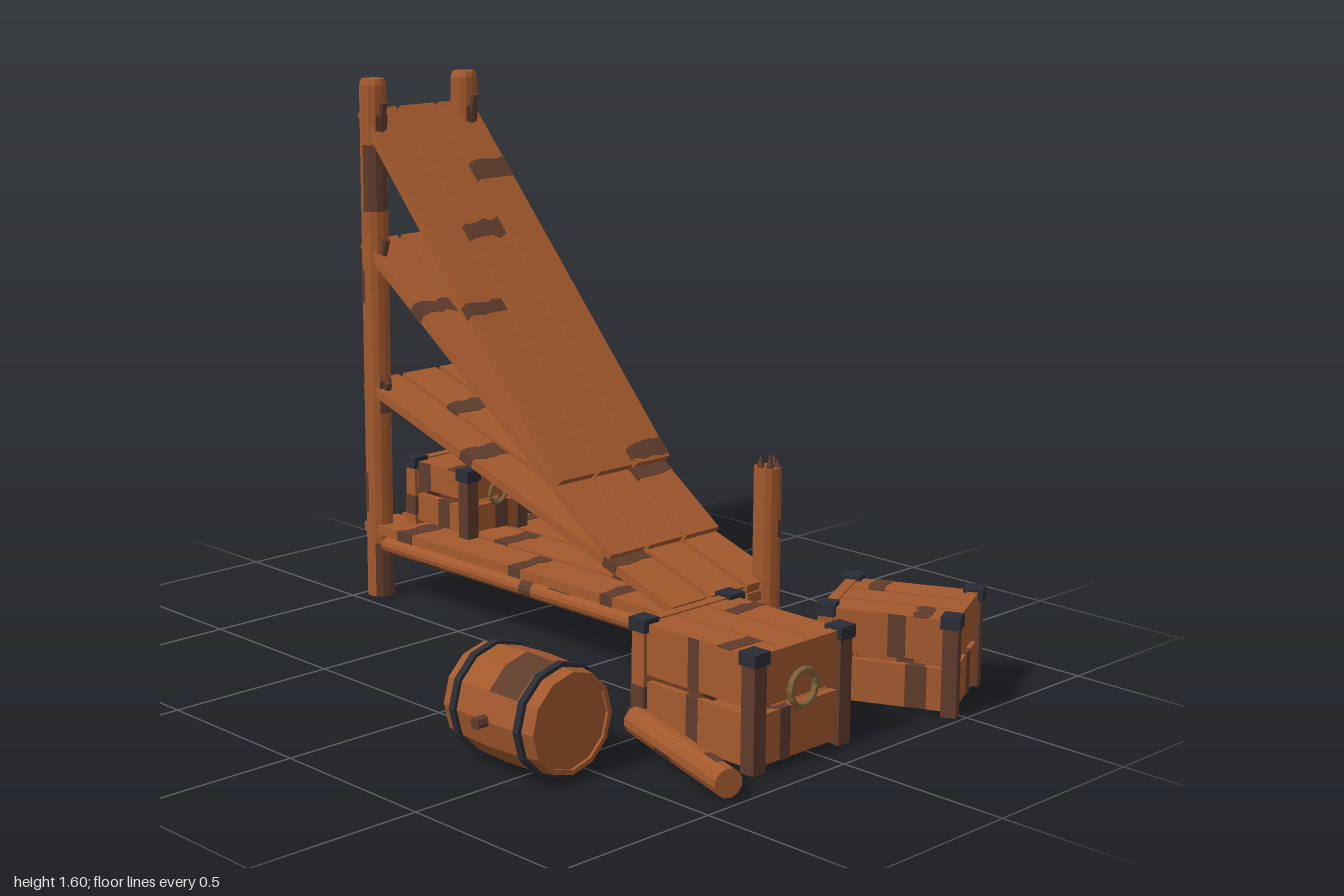
import * as THREE from 'three';

const mat = (name, color) => Object.assign(new THREE.MeshStandardMaterial({ color, flatShading: true }), { name });
const wood = mat('wood', 0xa3592d);
const stain = mat('dark wood stain', 0x5f3c2c);
const iron = mat('iron', 0x2a2d36);
const rope = mat('rope', 0x7c6339);

// Small seeded generator for stain placement
let seed = 7;
const rnd = () => (seed = (seed * 16807) % 2147483647) / 2147483647;

function add(parent, name, geo, material, x = 0, y = 0, z = 0) {
  const m = new THREE.Mesh(geo, material);
  m.name = name;
  m.position.set(x, y, z);
  parent.add(m);
  return m;
}

function group(parent, name, x = 0, y = 0, z = 0) {
  const g = new THREE.Group();
  g.name = name;
  g.position.set(x, y, z);
  parent.add(g);
  return g;
}

// Board running along x; each stain is a thin wavy band wrapped around it
function board(parent, name, len, th, wid, x, y, z, stains = []) {
  const g = group(parent, name, x, y, z);
  add(g, name + 'Wood', new THREE.BoxGeometry(len, th, wid), wood);
  for (const [u, bandWidth] of stains) {
    const e = 0.0015, hw = wid / 2 + e, s = new THREE.Shape();
    const steps = [-1, -0.4, 0.2, 0.55, 1];
    const left = steps.map(t => [u - bandWidth / 2 + (rnd() - 0.5) * 0.016, t * hw]);
    const right = steps.map(t => [u + bandWidth / 2 + (rnd() - 0.5) * 0.016, t * hw]).reverse();
    [...left, ...right].forEach(([a, b], i) => (i ? s.lineTo(a, b) : s.moveTo(a, b)));
    const geo = new THREE.ExtrudeGeometry(s, { depth: th + 2 * e, bevelEnabled: false });
    geo.translate(0, 0, -th / 2 - e).rotateX(-Math.PI / 2);
    add(g, name + 'Stain', geo, stain);
  }
  return g;
}

// Round timber along y, standing on its base; stains are [y, height, startAngle, sweep]
function log(parent, name, r, h, x, y, z, stains = []) {
  const g = group(parent, name, x, y, z);
  add(g, name + 'Wood', new THREE.CylinderGeometry(r, r, h, 12), wood, 0, h / 2);
  for (const [sy, sh, a, sides] of stains) {
    const step = Math.PI / 6;
    const geo = new THREE.CylinderGeometry(r + 0.0015, r + 0.0015, sh, sides, 1, true, a * step, sides * step);
    add(g, name + 'Stain', geo, stain, 0, sy + sh / 2);
  }
  return g;
}

// Broken end of a timber
function splinters(g, y) {
  const spots = [[0.018, 0.012, 0.045], [-0.02, 0.008, 0.032], [0.004, -0.02, 0.036], [-0.006, 0.024, 0.025], [0.024, -0.014, 0.022]];
  for (const [x, z, h] of spots) add(g, 'splinter', new THREE.ConeGeometry(0.012, h, 5), stain, x, y + h / 2, z);
}

// Slatted crate; w and d are measured between the corner post centres
function crate(parent, name, w, d, h, x, y, z, turn, p, rings) {
  const g = group(parent, name, x, y, z);
  g.rotation.y = turn;
  const capH = 0.035, top = h - 0.012;
  for (const sx of [-1, 1]) for (const sz of [-1, 1]) {
    add(g, 'cornerPost', new THREE.BoxGeometry(p, top, p), sx > 0 ? stain : wood, sx * w / 2, top / 2, sz * d / 2);
    if (sx < 0) add(g, 'cornerPostStain', new THREE.BoxGeometry(p + 0.003, top * 0.3, p + 0.003), stain, sx * w / 2, top * (sz > 0 ? 0.3 : 0.6), sz * d / 2);
    add(g, 'cornerCap', new THREE.BoxGeometry(p + 0.012, capH, p + 0.012), iron, sx * w / 2, h - capH / 2, sz * d / 2);
  }
  // Walls: two boards on each side with an open gap between them
  const gap = 0.02, bh = (h - 0.03 - gap) / 2;
  for (const s of [-1, 1]) for (const row of [0, 1]) {
    const by = 0.015 + bh / 2 + row * (bh + gap);
    board(g, 'longSlat', w, bh, 0.022, 0, by, s * d / 2, [[(rnd() - 0.5) * w * 0.7, 0.05]]);
    board(g, 'endSlat', d, bh, 0.022, s * w / 2, by, 0, row === 0 ? [[(rnd() - 0.5) * d * 0.5, 0.05]] : [])
      .rotation.y = Math.PI / 2;
  }
  // Lid, floor and the end rails
  const pitch = (d + 0.025) / 3;
  for (const i of [-1, 0, 1]) {
    board(g, 'lidSlat', w, 0.022, pitch - 0.008, 0, h - 0.024, i * pitch, i ? [[i * w * 0.25, 0.045]] : []);
    board(g, 'floorSlat', w, 0.02, pitch - 0.008, 0, 0.022, i * pitch);
  }
  for (const s of [-1, 1]) {
    add(g, 'endRail', new THREE.BoxGeometry(0.03, 0.03, d), wood, s * w / 2, h - 0.024, 0);
    if (!rings) continue;
    const r = h * 0.15;
    const ring = add(g, 'ropeRing', new THREE.TorusGeometry(r, r * 0.2, 6, 12), rope, s * (w / 2 + 0.02), h * 0.6, 0);
    ring.rotation.y = Math.PI / 2;
  }
}

export function createModel() {
  const model = new THREE.Group();
  model.name = 'woodenRampWithCargo';
  const rows = [-0.115, -0.265, -0.415], width = 0.132;
  const postZ = [-0.08, -0.438];

  // Tall rear posts with worn tops and pegs
  postZ.forEach((z, i) => {
    const g = log(model, 'tallPost', 0.041, 1.578, -0.958, 0, z,
      [[0, 0.17, 1, 6], [0.27, 0.12, 8, 4], [0.58, 0.1, 2, 7], [0.92, 0.1, 7, 5], [1.2, 0.2, i * 5, 4], [1.4, 0.09, 2, 5]]);
    add(g, 'postTop', new THREE.CylinderGeometry(0.034, 0.041, 0.017, 12), wood, 0, 1.5865);
    for (const y of [1.51, 1.1, 0.66]) {
      const peg = add(g, 'peg', new THREE.CylinderGeometry(0.013, 0.009, 0.06, 8), stain, 0.044, y - 0.012);
      peg.rotation.z = -0.25;
    }
  });

  // Front posts: one tall, one snapped off short
  splinters(log(model, 'frontPost', 0.04, 0.58, 0.325, 0, postZ[1], [[0.05, 0.1, 0, 6], [0.38, 0.05, 3, 4]]), 0.58);
  splinters(log(model, 'snappedPost', 0.04, 0.2, 0.325, 0, postZ[0], [[0.04, 0.06, 6, 5]]), 0.2);

  // Fallen piece of the snapped post
  const fallen = log(model, 'fallenPost', 0.039, 0.5, 0.968, 0.044, 0.395, [[0.05, 0.07, 2, 4], [0.24, 0.09, 6, 5]]);
  fallen.quaternion.setFromUnitVectors(new THREE.Vector3(0, 1, 0), new THREE.Vector3(-0.95, 0, -0.31).normalize());
  splinters(fallen, 0.5);

  // Bearers under the deck
  for (const z of postZ) {
    const b = log(model, 'bearer', 0.025, 1.29, 0.325, 0.165, z, [[0.1, 0.06, 0, 12], [0.42, 0.09, 2, 6], [0.57, 0.05, 0, 12], [0.98, 0.1, 5, 6]]);
    b.rotation.z = Math.PI / 2;
  }

  // Deck boards
  const deckStains = [[[-0.47, 0.06], [0.02, 0.05], [0.4, 0.05]], [[-0.2, 0.06], [0.3, 0.05]], [[-0.35, 0.05], [0.15, 0.06]]];
  rows.forEach((z, i) => board(model, 'deckBoard', 1.335, 0.028, width, -0.328, 0.215, z, deckStains[i]));

  // Three sloping panels: start x, y, end x, y, stains per row as distance from the middle
  const panels = [
    ['steepPanel', -0.985, 1.495, -0.112, 0.517, [[[0.07, 0.045]], [[-0.19, 0.06]], [[-0.4, 0.06], [0.62, 0.05]]]],
    ['middlePanel', -0.985, 1.1, 0.092, 0.34, [[[-0.35, 0.05]], [[0.1, 0.06]], [[-0.2, 0.15], [0.4, 0.045]]]],
    ['lowPanel', -0.985, 0.665, 0.335, 0.242, [[[0.44, 0.05], [-0.2, 0.06]], [[-0.45, 0.06]], [[0.1, 0.06]]]],
  ];
  for (const [name, x0, y0, x1, y1, stains] of panels) {
    const g = group(model, name, (x0 + x1) / 2, (y0 + y1) / 2, 0);
    g.rotation.z = Math.atan2(y1 - y0, x1 - x0);
    const len = Math.hypot(x1 - x0, y1 - y0);
    rows.forEach((z, i) => board(g, name + 'Board', len, 0.027, width, 0, 0, z, stains[i]));
  }

  // Crates
  crate(model, 'largeCrate', 0.39, 0.325, 0.322, 0.688, 0, 0.053, 0, 0.045, true);
  crate(model, 'turnedCrate', 0.344, 0.278, 0.282, 0.742, 0, -0.53, 0.45, 0.042, false);
  crate(model, 'deckCrate', 0.245, 0.2, 0.212, -0.758, 0.229, -0.262, 0, 0.042, true);

  // Barrel lying along x
  const barrel = group(model, 'barrel', 0.447, 0.152, 0.585);
  barrel.rotation.z = -Math.PI / 2;
  const profile = [[0.122, -0.155], [0.122, -0.168], [0.135, -0.168], [0.143, -0.1], [0.147, 0], [0.143, 0.1], [0.135, 0.168], [0.122, 0.168], [0.122, 0.155]];
  const staves = (sides, start, grow, pts) => new THREE.LatheGeometry(
    pts.map(([r, y]) => new THREE.Vector2(r + grow, y)), sides, start * Math.PI / 6, sides * Math.PI / 6);
  add(barrel, 'staves', staves(12, 0, 0, profile), wood);
  add(barrel, 'staveStain', staves(3, 2, 0.0015, profile.slice(3, 6)), stain);
  add(barrel, 'staveStain', staves(2, 9, 0.0015, profile.slice(4, 6)), stain);
  for (const s of [-1, 1]) {
    add(barrel, 'barrelEnd', new THREE.CylinderGeometry(0.123, 0.123, 0.015, 12), wood, 0, s * 0.152);
    add(barrel, 'hoop', new THREE.CylinderGeometry(0.151, 0.151, 0.02, 12), iron, 0, s * 0.12);
  }
  const bung = add(barrel, 'bung', new THREE.CylinderGeometry(0.017, 0.017, 0.05, 8), stain, 0, 0, 0.152);
  bung.rotation.x = Math.PI / 2;

  return model;
}
